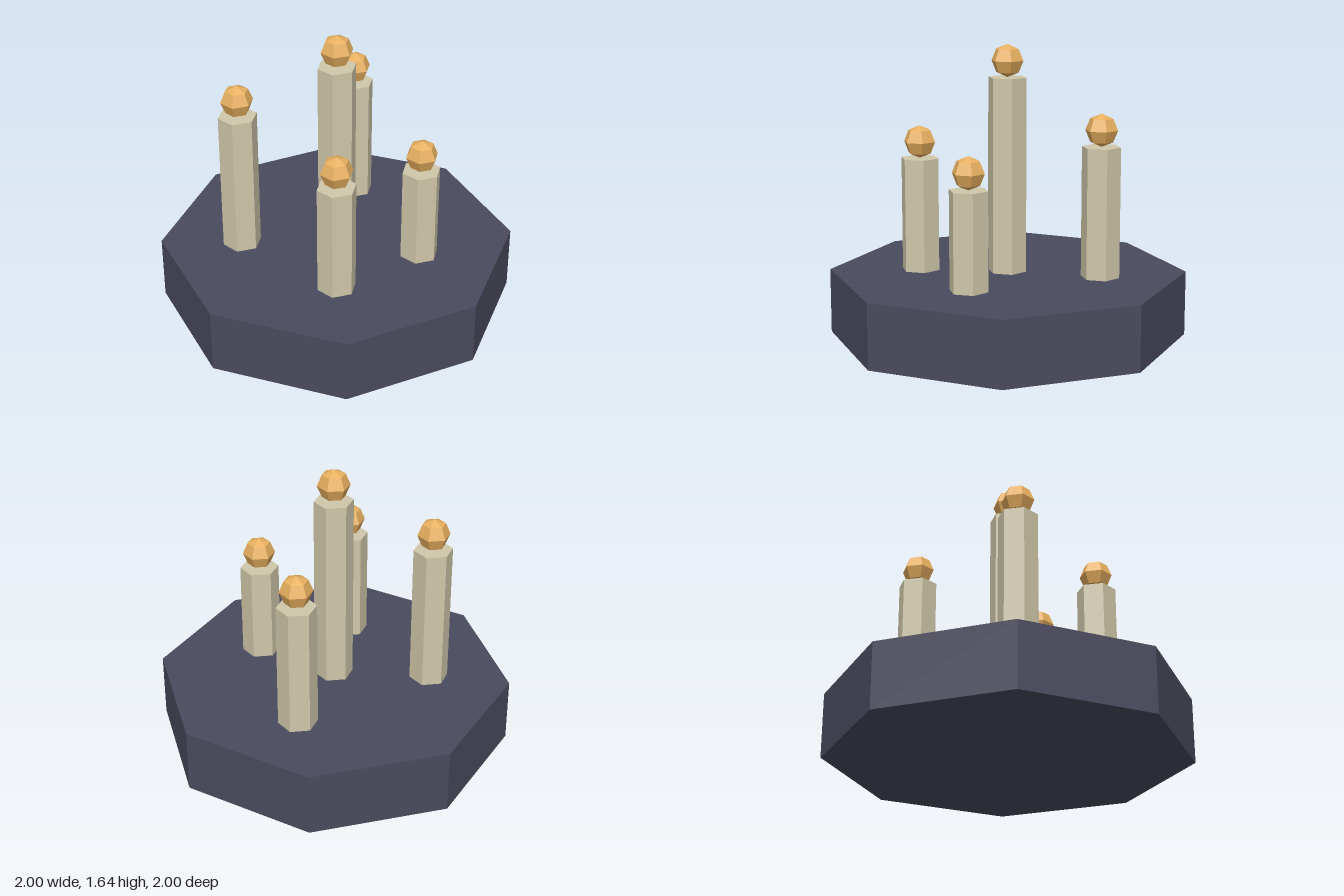
import * as THREE from 'three';

const BASE_HEIGHT = 0.364;
const CANDLE_RADIUS = 0.109;
const FLAME_RADIUS = 0.091;

// x, z and top height of each candle
const CANDLES = [
  [0, 0, 1.455],
  [0.455, -0.273, 1.091],
  [-0.4, -0.364, 1.182],
  [-0.364, 0.327, 1.0],
  [0.182, 0.455, 0.909],
];

function makeMaterial(name, color) {
  const material = new THREE.MeshStandardMaterial({ color, flatShading: true });
  material.name = name;
  return material;
}

function addMesh(parent, name, geometry, material, x, y, z) {
  const mesh = new THREE.Mesh(geometry, material);
  mesh.name = name;
  mesh.position.set(x, y, z);
  parent.add(mesh);
  return mesh;
}

export function createModel() {
  const model = new THREE.Group();
  model.name = 'candleStand';
  const slate = makeMaterial('slate', 0x4a4a5e);
  const wax = makeMaterial('wax', 0xd0c8aa);
  const amber = makeMaterial('amber', 0xe8b060);

  // Octagonal base with corners on the axes
  addMesh(model, 'base', new THREE.CylinderGeometry(1, 1, BASE_HEIGHT, 8), slate, 0, BASE_HEIGHT / 2, 0);

  // Flame facets are turned to line up with the hexagonal candles
  const flameGeometry = new THREE.SphereGeometry(FLAME_RADIUS, 6, 4).rotateY(Math.PI / 2);

  for (const [x, z, top] of CANDLES) {
    const candle = new THREE.Group();
    candle.name = 'candle';
    candle.position.set(x, 0, z);
    model.add(candle);

    const height = top - BASE_HEIGHT;
    const stickGeometry = new THREE.CylinderGeometry(CANDLE_RADIUS, CANDLE_RADIUS, height, 6);
    addMesh(candle, 'stick', stickGeometry, wax, 0, BASE_HEIGHT + height / 2, 0);
    addMesh(candle, 'flame', flameGeometry, amber, 0, top + FLAME_RADIUS, 0);
  }
  return model;
}
